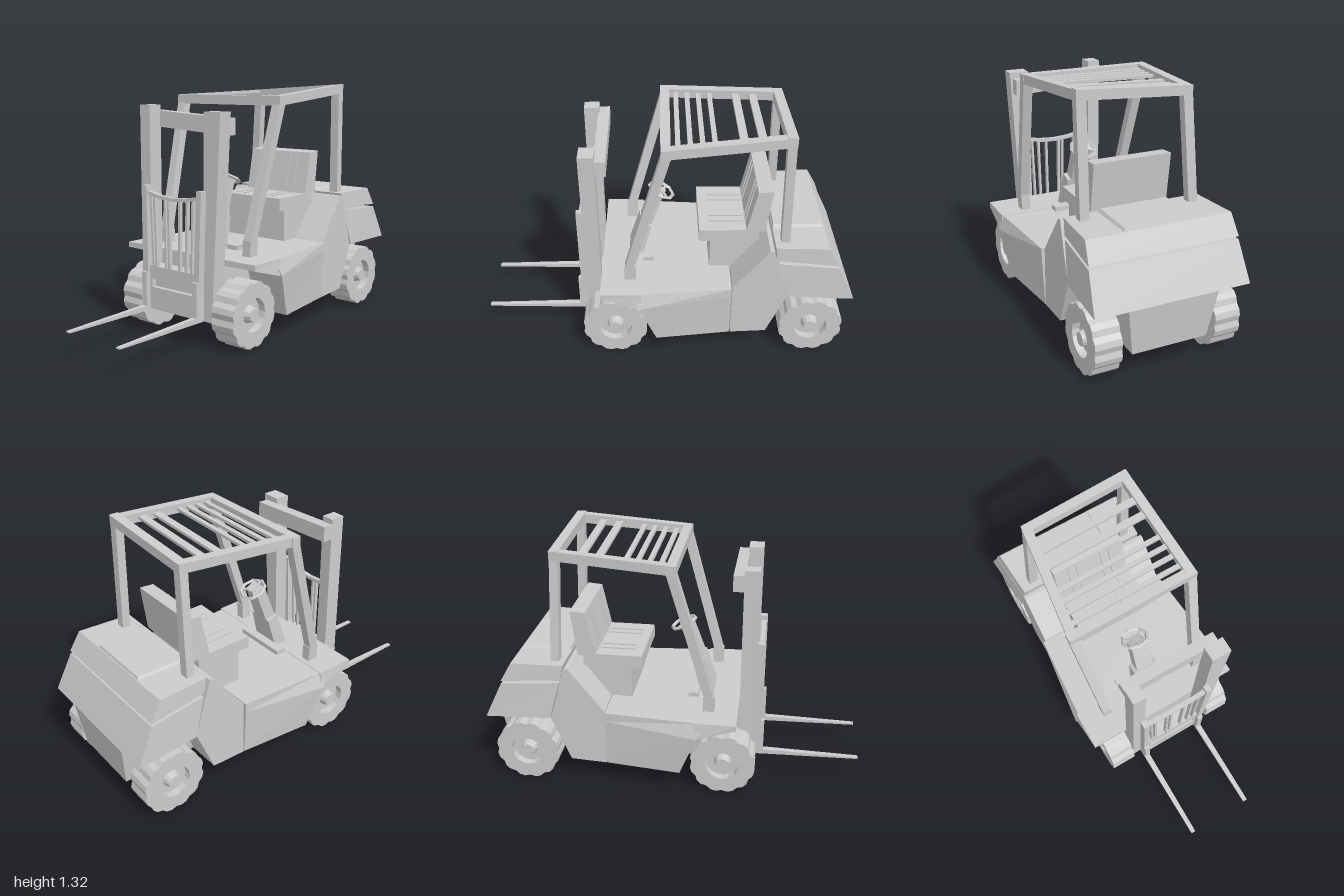
import * as THREE from 'three';

const mat = new THREE.MeshStandardMaterial({ color: 0xcccccc, flatShading: true, side: THREE.DoubleSide });

export function createModel() {
  const root = new THREE.Group();
  const add = (name, geo, parent = root) => {
    const m = new THREE.Mesh(geo, mat);
    m.name = name;
    parent.add(m);
    return m;
  };

  // Solid through a stack of four-cornered rings, always wound outwards
  const loft = (name, rings, parent) => {
    const tris = [];
    const quad = (a, b, c, d) => tris.push([a, b, c], [a, c, d]);
    quad(...[...rings[0]].reverse());
    for (let r = 0; r < rings.length - 1; r++) {
      for (let i = 0; i < 4; i++) {
        const j = (i + 1) % 4;
        quad(rings[r][i], rings[r][j], rings[r + 1][j], rings[r + 1][i]);
      }
    }
    quad(...rings[rings.length - 1]);
    const V = (p) => new THREE.Vector3(...p);
    const o = V(rings[0][0]);
    const vol = tris.reduce((s, [a, b, c]) => s + V(a).sub(o).dot(V(b).sub(o).cross(V(c).sub(o))), 0);
    const pos = tris.flatMap((t) => (vol < 0 ? [t[0], t[2], t[1]] : t)).flat();
    const g = new THREE.BufferGeometry();
    g.setAttribute('position', new THREE.Float32BufferAttribute(pos, 3));
    g.computeVertexNormals();
    return add(name, g, parent);
  };

  // Mirrored layer: front and back heights, depths and half widths
  const layer = (yF, yB, zF, zB, xF, xB) =>
    [[-xF, yF, zF], [xF, yF, zF], [xB, yB, zB], [-xB, yB, zB]];

  // Beam from a to b whose end section lies square to the given axis
  const beam = (name, a, b, axis, w, h, parent) => {
    const [u, v] = [0, 1, 2].filter((k) => k !== axis);
    const ring = (p) => [[-1, -1], [1, -1], [1, 1], [-1, 1]].map(([s, t]) => {
      const q = [...p];
      q[u] += (s * w) / 2;
      q[v] += (t * h) / 2;
      return q;
    });
    return loft(name, [ring(a), ring(b)], parent);
  };

  // Side profile of [z, y] points extruded across the width
  const side = (name, pts, x0, x1) => {
    const s = new THREE.Shape(pts.map((p) => new THREE.Vector2(...p)));
    const g = new THREE.ExtrudeGeometry(s, { depth: x1 - x0, bevelEnabled: false });
    g.rotateY(-Math.PI / 2);
    return add(name, g.translate(x1, 0, 0));
  };

  const box = (name, x0, x1, y0, y1, z0, z1, parent) =>
    add(name, new THREE.BoxGeometry(x1 - x0, y1 - y0, z1 - z0)
      .translate((x0 + x1) / 2, (y0 + y1) / 2, (z0 + z1) / 2), parent);

  // Chassis: flared side body, front fenders, nose between the wheels
  loft('chassis', [
    layer(0.13, 0.13, 0.05, -0.35, 0.43, 0.385),
    layer(0.365, 0.40, 0.14, -0.35, 0.462, 0.40),
    layer(0.45, 0.45, 0.18, -0.35, 0.44, 0.40),
  ]);
  loft('frontFender', [
    layer(0.425, 0.36, 0.345, 0.13, 0.447, 0.455),
    layer(0.455, 0.453, 0.345, 0.13, 0.447, 0.445),
  ]);
  box('nose', -0.24, 0.24, 0.13, 0.44, 0.02, 0.345);

  // Engine hood rising behind the floor
  side('engineHood', [[-0.355, 0.13], [-0.55, 0.14], [-0.65, 0.39], [-0.585, 0.6],
    [-0.56, 0.69], [-0.54, 0.69], [-0.355, 0.45]], -0.385, 0.385);

  // Counterweight in two tiers with a narrow groove between
  loft('counterweightLower', [
    layer(0.39, 0.39, -0.655, -1.0, 0.39, 0.41),
    layer(0.60, 0.585, -0.595, -0.905, 0.375, 0.395),
  ]);
  box('counterweightCore', -0.35, 0.35, 0.55, 0.66, -0.86, -0.58);
  loft('counterweightUpper', [
    layer(0.62, 0.60, -0.59, -0.905, 0.375, 0.395),
    layer(0.70, 0.705, -0.57, -0.845, 0.37, 0.385),
  ]);
  loft('hoodPanel', [
    layer(0.69, 0.69, -0.57, -0.845, 0.2, 0.2),
    layer(0.718, 0.718, -0.575, -0.835, 0.18, 0.18),
  ]);
  loft('rearUnderbody', [
    layer(0.14, 0.14, -0.5, -0.965, 0.2, 0.2),
    layer(0.4, 0.4, -0.5, -0.995, 0.24, 0.24),
  ]);

  // Seat
  box('seatBase', -0.2, 0.2, 0.44, 0.64, -0.5, -0.24);
  box('seatCushion', -0.21, 0.21, 0.63, 0.7, -0.5, -0.18);
  side('seatBack', [[-0.43, 0.69], [-0.48, 0.935], [-0.56, 0.942], [-0.53, 0.69]], -0.21, 0.21);
  for (const s of [-1, 1]) {
    for (const x of [0.075, 0.125]) {
      beam('seatRib', [s * x, 0.71, -0.434], [s * x, 0.93, -0.479], 1, 0.01, 0.014);
      box('cushionRib', s * x - 0.005, s * x + 0.005, 0.7, 0.706, -0.42, -0.23);
    }
  }

  // Steering column and wheel
  loft('columnBase', [layer(0.45, 0.45, 0.2, 0.12, 0.08, 0.08), layer(0.645, 0.625, 0.14, 0.075, 0.07, 0.07)]);
  loft('steeringColumn', [layer(0.645, 0.625, 0.135, 0.075, 0.05, 0.05), layer(0.84, 0.81, 0.065, 0.01, 0.045, 0.045)]);
  box('pedals', -0.16, 0.15, 0.45, 0.475, 0.065, 0.12);
  const steering = new THREE.Group();
  steering.name = 'steeringWheel';
  steering.position.set(0, 0.82, 0.02);
  steering.rotation.x = -0.44;
  root.add(steering);
  add('steeringRim', new THREE.TorusGeometry(0.07, 0.01, 4, 8).rotateX(Math.PI / 2), steering);
  add('steeringHub', new THREE.CylinderGeometry(0.025, 0.025, 0.012, 8), steering);
  for (let i = 0; i < 3; i++) {
    const spoke = box('steeringSpoke', -0.007, 0.007, -0.004, 0.004, 0, 0.07, steering);
    spoke.rotation.y = (i * Math.PI * 2) / 3;
  }

  // Overhead guard, slightly skewed
  const front = { '-1': [-0.335, 1.245, -0.005], 1: [0.33, 1.245, -0.005] };
  const rear = { '-1': [-0.25, 1.265, -0.605], 1: [0.305, 1.3, -0.605] };
  for (const s of [-1, 1]) {
    const knee = [s * 0.295, 0.54, 0.19];
    beam('guardFrontFoot', [s * 0.29, 0.44, 0.19], knee, 1, 0.05, 0.06);
    beam('guardFrontPost', knee, front[s], 1, 0.05, 0.05);
    beam('guardRearPost', [s * 0.295, 0.69, -0.625], rear[s], 1, 0.05, 0.045);
    beam('guardSideRail', [front[s][0], 1.245, 0.015], [rear[s][0], rear[s][1], -0.63], 2, 0.05, 0.05);
  }
  beam('guardFrontRail', [-0.36, 1.245, 0], [0.355, 1.245, 0], 0, 0.05, 0.05);
  beam('guardRearRail', [-0.275, 1.265, -0.605], [0.33, 1.302, -0.605], 0, 0.05, 0.05);
  for (const z of [-0.47, -0.38, -0.24, -0.18, -0.12, -0.06]) {
    const t = -z / 0.605;
    const p = (s) => [THREE.MathUtils.lerp(front[s][0], rear[s][0], t),
      THREE.MathUtils.lerp(front[s][1], rear[s][1], t), z];
    beam('guardSlat', p(-1), p(1), 0, 0.015, z < -0.3 ? 0.04 : 0.025);
  }

  // Mast columns and crossbeams
  box('mastRight', -0.25, -0.18, 0.14, 1.225, 0.35, 0.43);
  loft('mastLeft', [
    [[0.18, 0.14, 0.43], [0.24, 0.14, 0.43], [0.24, 0.14, 0.35], [0.18, 0.14, 0.35]],
    [[0.19, 1.2, 0.43], [0.297, 1.2, 0.43], [0.297, 1.2, 0.35], [0.19, 1.2, 0.35]],
  ]);
  beam('mastCrossbeam', [-0.25, 1.155, 0.325], [0.28, 1.125, 0.325], 0, 0.085, 0.06);
  box('mastLowerBeam', -0.2, 0.2, 0.15, 0.22, 0.36, 0.42);

  // Carriage plate with a slot, backrest grille and forks
  const plate = new THREE.Shape([[-0.165, 0.15], [0.16, 0.15], [0.16, 0.385], [-0.165, 0.385]].map((p) => new THREE.Vector2(...p)));
  plate.holes.push(new THREE.Path([[-0.15, 0.27], [-0.15, 0.317], [0.14, 0.317], [0.14, 0.27]].map((p) => new THREE.Vector2(...p))));
  add('carriagePlate', new THREE.ExtrudeGeometry(plate, { depth: 0.03, bevelEnabled: false }).translate(0, 0, 0.43));
  box('carriageBack', -0.165, 0.16, 0.15, 0.385, 0.38, 0.435);
  const sag = (x) => 0.75 + 0.75 * x * x;
  for (let i = 0; i < 4; i++) {
    const [a, b] = [-0.18 + i * 0.09, -0.09 + i * 0.09];
    beam('grilleTopBar', [a, sag(a), 0.45], [b, sag(b), 0.45], 0, 0.018, 0.025);
  }
  for (const x of [-0.155, -0.13, -0.055, -0.03, 0.05, 0.1, 0.14]) {
    beam('grilleBar', [x * 0.9, 0.38, 0.45], [x, sag(x), 0.45], 1, 0.013, 0.02);
  }
  for (const [x, name] of [[-0.185, 'right'], [0.17, 'left']]) {
    beam(name + 'GrillePost', [x, 0.3, 0.45], [x + (x > 0 ? 0.02 : -0.005), 0.81, 0.45], 1, 0.032, 0.04);
    box(name + 'ForkShank', x - 0.016, x + 0.016, 0.14, 0.35, 0.43, 0.485);
    loft(name + 'Fork', [
      [[x - 0.016, 0.14, 0.45], [x + 0.016, 0.14, 0.45], [x + 0.016, 0.168, 0.45], [x - 0.016, 0.168, 0.45]],
      [[x - 0.012, 0.148, 1], [x + 0.012, 0.148, 1], [x + 0.012, 0.156, 1], [x - 0.012, 0.156, 1]],
    ]);
  }

  // Wheels: lobed tyres with recessed rims and hubs
  const tyre = new THREE.Shape();
  for (let i = 0; i < 36; i++) {
    const a = (i * Math.PI) / 18;
    const r = i % 3 === 0 ? 0.164 : 0.175;
    tyre[i ? 'lineTo' : 'moveTo'](Math.cos(a) * r, Math.sin(a) * r);
  }
  tyre.holes.push(new THREE.Path().absarc(0, 0, 0.09, 0, Math.PI * 2, true));
  const tyreGeo = new THREE.ExtrudeGeometry(tyre, { depth: 0.14, bevelEnabled: false, curveSegments: 8 })
    .translate(0, 0, -0.07).rotateY(Math.PI / 2);
  const rimGeo = new THREE.CylinderGeometry(0.092, 0.092, 0.06, 16).rotateZ(Math.PI / 2);
  const hubGeo = new THREE.CylinderGeometry(0.035, 0.05, 0.05, 12).rotateZ(-Math.PI / 2);
  for (const [z, end] of [[0.275, 'front'], [-0.795, 'rear']]) {
    for (const s of [-1, 1]) {
      const wheel = new THREE.Group();
      wheel.name = end + (s > 0 ? 'Left' : 'Right') + 'Wheel';
      wheel.position.set(s * 0.32, 0.175, z);
      if (s < 0) wheel.rotation.y = Math.PI;
      add('tyre', tyreGeo, wheel);
      add('rim', rimGeo, wheel);
      add('hub', hubGeo, wheel).position.x = 0.045;
      root.add(wheel);
    }
    add(end + 'Axle', new THREE.CylinderGeometry(0.045, 0.045, 0.6, 12).rotateZ(Math.PI / 2))
      .position.set(0, 0.175, z);
  }
  return root;
}
